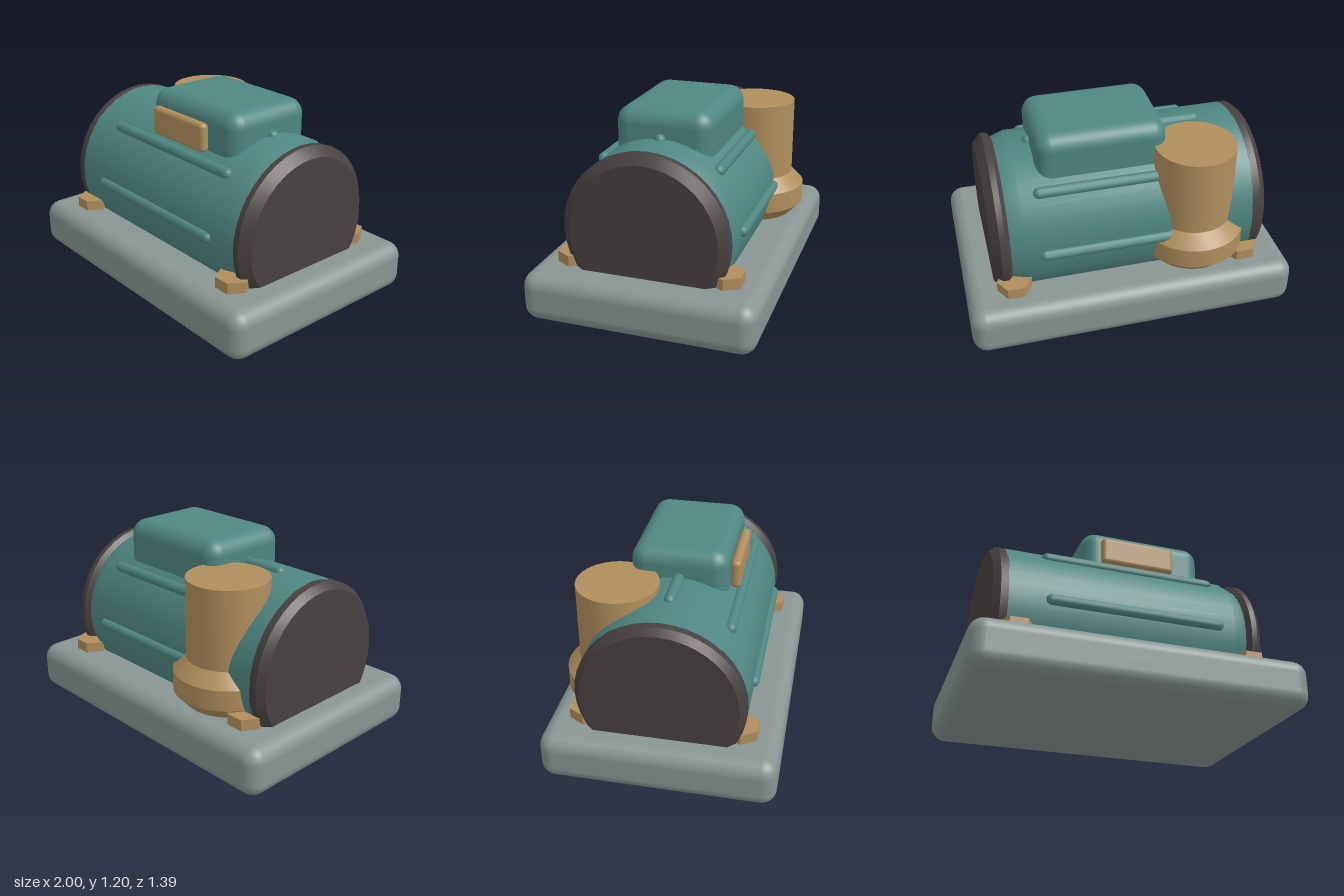
import * as THREE from 'three';
import { toCreasedNormals } from 'three/addons/utils/BufferGeometryUtils.js';
import { RoundedBoxGeometry } from 'three/addons/geometries/RoundedBoxGeometry.js';

const material = (name, color) => {
  const m = new THREE.MeshStandardMaterial({ color });
  m.name = name;
  return m;
};

export function createModel() {
  const model = new THREE.Group();
  model.name = 'motorPump';
  const teal = material('teal paint', 0x4f8782);
  const brass = material('brass', 0xb08e5c);
  const grey = material('grey base', 0x889592);
  const dark = material('dark iron', 0x484141);
  const axisY = 0.535;

  const add = (name, geometry, mat, x, y, z) => {
    const mesh = new THREE.Mesh(geometry, mat);
    mesh.name = name;
    mesh.position.set(x, y, z);
    model.add(mesh);
    return mesh;
  };
  // Profile points are [radius, height along the axis], in rising order
  const lathe = (points, segments) => toCreasedNormals(
    new THREE.LatheGeometry(points.map(([r, h]) => new THREE.Vector2(r, h)), segments), 0.5);
  const turned = (name, points, mat) => {
    add(name, lathe(points, 40), mat, 0, axisY, 0).rotation.z = -Math.PI / 2;
  };

  // Base slab
  add('base', new RoundedBoxGeometry(2, 0.3, 1.39, 4, 0.09), grey, 0, 0.15, 0);

  // Motor barrel with a tapered right end, and its two end caps
  turned('barrel', [[0.497, -0.77], [0.497, 0.63], [0.465, 0.72]], teal);
  turned('rightEndCap', [[0, -0.855], [0.46, -0.855], [0.497, -0.815], [0.497, -0.765], [0.48, -0.765]], dark);
  turned('leftEndCap', [[0.44, 0.715], [0.468, 0.715], [0.497, 0.74], [0.497, 0.775], [0.44, 0.825], [0, 0.825]], dark);

  // Cooling ribs around the upper half of the barrel
  for (let i = 0; i < 5; i++) {
    const a = i * Math.PI / 4;
    const rib = add('coolingRib', new THREE.CapsuleGeometry(0.034, 1.037, 4, 12), teal,
      -0.003, axisY + 0.492 * Math.sin(a), 0.492 * Math.cos(a));
    rib.rotation.z = Math.PI / 2;
  }

  // Terminal box and its front plate
  add('terminalBox', new RoundedBoxGeometry(0.785, 0.42, 0.585, 4, 0.095), teal, 0.118, 0.985, -0.003);
  add('terminalPlate', new RoundedBoxGeometry(0.47, 0.177, 0.06, 3, 0.027), brass, 0.063, 1.022, 0.32);

  // Upright outlet pipe with a flared foot
  add('outletPipe', lathe([[0, 0.29], [0.25, 0.3], [0.32, 0.375], [0.32, 0.5],
    [0.243, 0.58], [0.243, 1.058], [0, 1.058]], 40), brass, -0.43, 0, -0.325);

  // Hexagonal hold-down bolts
  for (const x of [-0.715, 0.71]) {
    for (const side of [-1, 1]) {
      const hex = toCreasedNormals(new THREE.CylinderGeometry(0.105, 0.105, 0.09, 6), 0.3);
      add('bolt', hex, brass, x, 0.322, side * 0.464).rotation.y = Math.PI / 6;
    }
  }
  return model;
}
